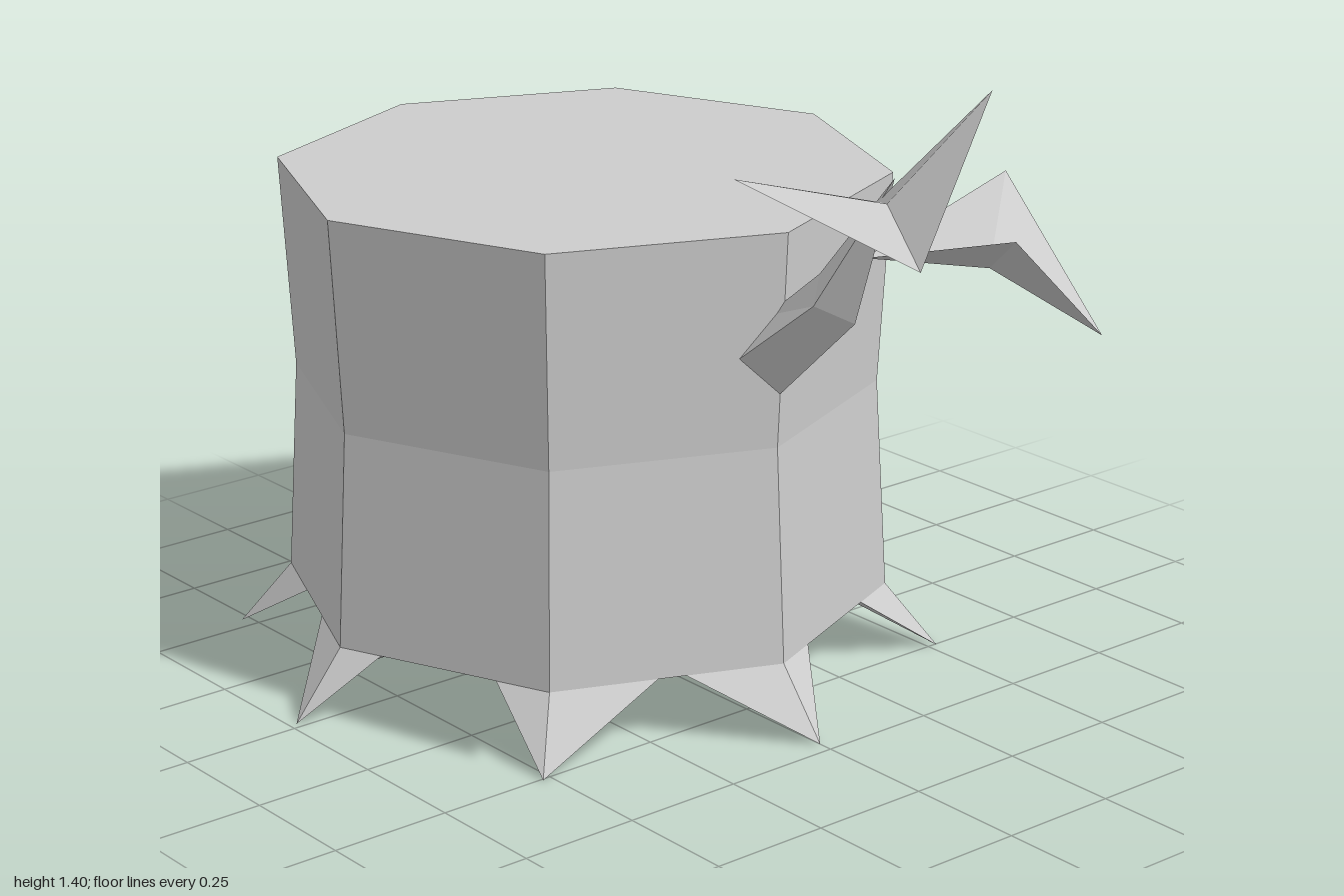
import * as THREE from 'three';

const grey = new THREE.MeshStandardMaterial({ color: 0xcccccc, flatShading: true, side: THREE.DoubleSide });
grey.name = 'plain grey';

// Faceted mesh from convex polygons, each a list of [x, y, z] corners
function faceted(name, polygons) {
  const pos = [];
  for (const p of polygons)
    for (let i = 1; i < p.length - 1; i++) pos.push(...p[0], ...p[i], ...p[i + 1]);
  const geo = new THREE.BufferGeometry();
  geo.setAttribute('position', new THREE.Float32BufferAttribute(pos, 3));
  geo.computeVertexNormals();
  const mesh = new THREE.Mesh(geo, grey);
  mesh.name = name;
  return mesh;
}

const SIDES = 8, CX = -0.265;
const ring = (r, y) => Array.from({ length: SIDES }, (_, k) => {
  const a = (k / SIDES) * Math.PI * 2;
  return [CX + r * Math.cos(a), y, r * Math.sin(a)];
});
const mix = (a, b, t) => a.map((v, i) => v + (b[i] - v) * t);

function createStump() {
  const top = ring(0.625, 1.02), mid = ring(0.6, 0.58), low = ring(0.625, 0.135);
  const tips = ring(0.735, 0), heel = ring(0.57, 0.085);
  const centre = [CX, 0.09, 0];
  // How far each root spreads along the bottom edges, from either end
  const spread = [[0.42, 0.46], [0.25, 0.2], [0.36, 0.34], [0.22, 0.2],
    [0.36, 0.25], [0.25, 0.18], [0.35, 0.35], [0.25, 0.23]];
  const start = low.map((b, k) => mix(b, low[(k + 1) % SIDES], spread[k][0]));
  const end = low.map((b, k) => mix(low[(k + 1) % SIDES], b, spread[k][1]));

  const trunk = [], roots = [], base = [];
  for (let k = 0; k < SIDES; k++) {
    const n = (k + 1) % SIDES, p = start[k], q = end[k];
    // Bark
    trunk.push([mid[k], top[k], top[n], mid[n]]);
    trunk.push([low[k], mid[k], p], [p, mid[k], q], [mid[k], mid[n], q], [q, mid[n], low[n]]);
    // Outer and under faces of the roots
    roots.push([tips[k], low[k], p], [q, low[n], tips[n]]);
    roots.push([heel[k], tips[k], p], [heel[n], q, tips[n]]);
    // Underside
    base.push([centre, heel[k], p], [centre, p, q], [centre, q, heel[n]]);
  }
  const stump = new THREE.Group();
  stump.name = 'stump';
  stump.add(
    faceted('trunk', trunk),
    faceted('cutTop', [[...top].reverse()]),
    faceted('roots', roots),
    faceted('underside', base),
  );
  return stump;
}

function createBranch() {
  // Diamond cross-sections: top, left side, bottom, right side
  const a = [[0.3, 0.84, 0], [0.31, 0.77, 0.08], [0.34, 0.69, 0], [0.31, 0.77, -0.08]];
  const b = [[0.45, 0.96, 0], [0.5, 0.92, 0.06], [0.55, 0.885, 0], [0.5, 0.92, -0.06]];
  const tip = [0.65, 1.19, 0];
  const faces = [[...a].reverse()];
  for (let i = 0; i < 4; i++) {
    const j = (i + 1) % 4;
    faces.push([a[i], a[j], b[j]], [a[i], b[j], b[i]], [b[i], b[j], tip]);
  }
  return faceted('branch', faces);
}

// Leaf: four corners folded around a middle point
const createLeaf = (name, corners, middle) =>
  faceted(name, corners.map((c, i) => [middle, corners[(i + 1) % 4], c]));

export function createModel() {
  const model = new THREE.Group();
  model.name = 'treeStump';
  model.add(
    createStump(),
    createBranch(),
    createLeaf('frontLeaf',
      [[0.605, 1.135, 0], [0.885, 1.4, -0.01], [1, 1.145, 0.265], [0.63, 1.25, 0.37]], [0.79, 1.2, 0.15]),
    createLeaf('backLeaf',
      [[0.55, 1.01, -0.02], [0.565, 1.12, -0.37], [0.86, 0.87, -0.34], [0.915, 1.12, -0.05]], [0.71, 0.995, -0.19]),
  );
  return model;
}
